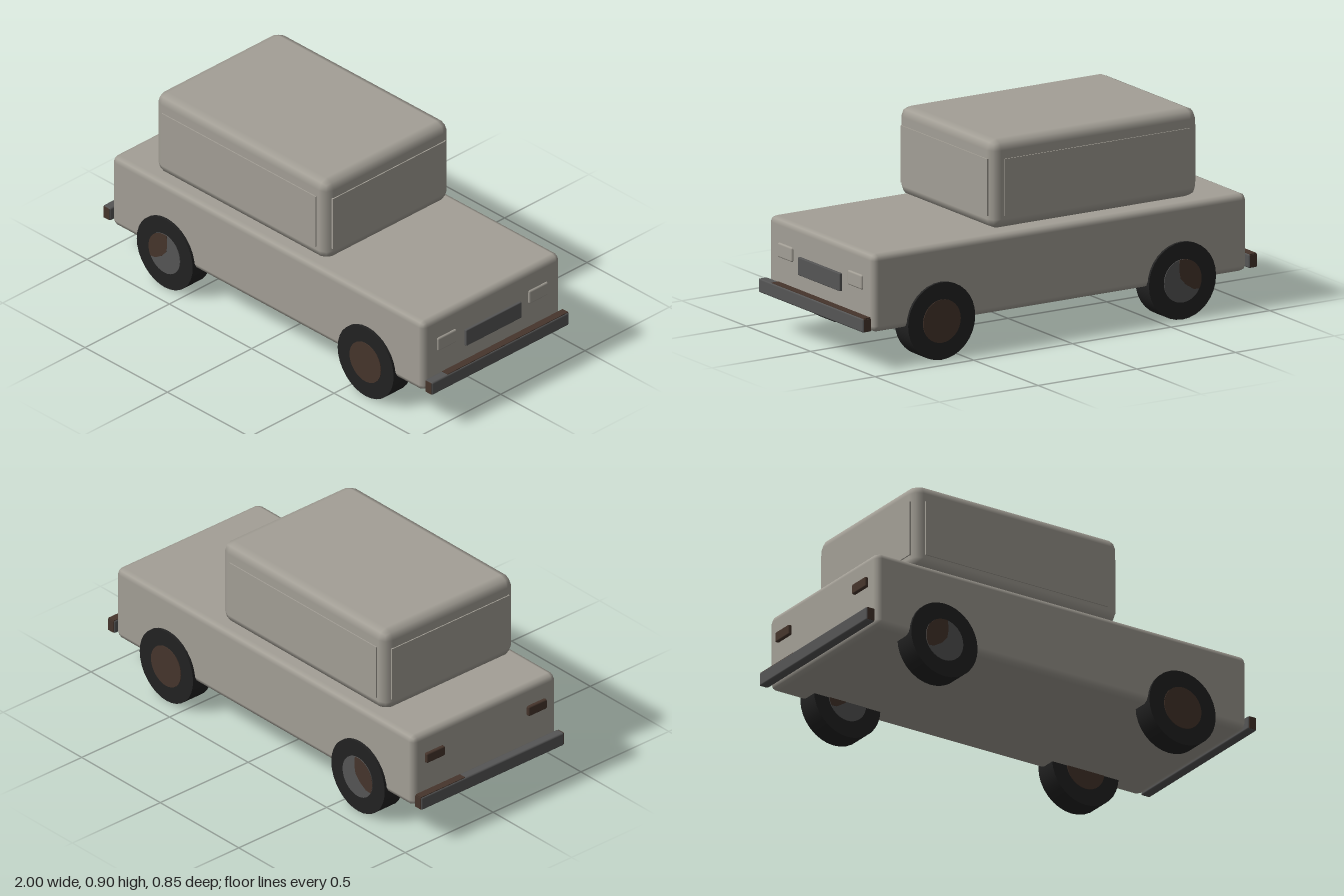
import * as THREE from 'three';
import { RoundedBoxGeometry } from 'three/addons/geometries/RoundedBoxGeometry.js';

const material = (name, color) => {
  const m = new THREE.MeshStandardMaterial({ color });
  m.name = name;
  return m;
};

export function createModel() {
  const car = new THREE.Group();
  car.name = 'car';
  const paint = material('bodyPaint', 0xa39f96);
  const grey = material('dullMetal', 0x555555);
  const rust = material('rust', 0x46352c);
  const rubber = material('tyreRubber', 0x222222);

  const add = (name, geometry, mat, parent = car) => {
    const mesh = new THREE.Mesh(geometry, mat);
    mesh.name = name;
    parent.add(mesh);
    return mesh;
  };
  // Box given by its limits on each axis; radius 0 keeps the edges sharp
  const block = (name, [x0, x1], [y0, y1], [z0, z1], mat, radius = 0) => {
    const size = [x1 - x0, y1 - y0, z1 - z0];
    const geometry = radius
      ? new RoundedBoxGeometry(...size, 1, radius)
      : new THREE.BoxGeometry(...size);
    const mesh = add(name, geometry, mat);
    mesh.position.set((x0 + x1) / 2, (y0 + y1) / 2, (z0 + z1) / 2);
    return mesh;
  };

  // Body and cabin
  block('body', [-0.948, 0.948], [0.16, 0.503], [-0.408, 0.408], paint, 0.028);
  block('cabin', [-0.727, 0.32], [0.51, 0.902], [-0.37, 0.37], paint, 0.045);

  // Window panels, slightly proud of the cabin
  block('windscreen', [0.317, 0.325], [0.57, 0.82], [-0.335, 0.335], paint);
  block('rearWindow', [-0.732, -0.724], [0.57, 0.82], [-0.335, 0.335], paint);
  for (const s of [-1, 1]) {
    const z = [s * 0.367, s * 0.375].sort((a, b) => a - b);
    block('sideWindow', [-0.675, 0.26], [0.57, 0.82], z, paint);
  }

  // Grille and lamps
  block('grille', [0.94, 0.96], [0.293, 0.372], [-0.164, 0.164], grey, 0.004);
  for (const s of [-1, 1]) {
    const headZ = s * 0.271, tailZ = s * 0.29;
    block('headlight', [0.935, 0.956], [0.335, 0.4], [headZ - 0.057, headZ + 0.057], paint, 0.008);
    block('tailLight', [-0.963, -0.94], [0.36, 0.406], [tailZ - 0.052, tailZ + 0.052], rust, 0.006);
  }

  // Bumpers with rusted ends and a rusted stretch along the top
  for (const [name, x0, x1, rustEnd] of [
    ['frontBumper', 0.956, 1, 0.31],
    ['rearBumper', -1, -0.956, -0.155],
  ]) {
    block(name, [x0, x1], [0.17, 0.231], [-0.406, 0.406], grey, 0.007);
    const x = [x0 + 0.005, x1 - 0.005];
    block(name + 'TopRust', x, [0.227, 0.233], [-0.405, rustEnd], rust);
    for (const s of [-1, 1]) {
      const z = [s * 0.402, s * 0.408].sort((a, b) => a - b);
      block(name + 'EndRust', x, [0.174, 0.228], z, rust);
    }
  }

  // Wheels: tyre, hub through the tyre, and a rust patch on the rear hubs
  const hubRadius = 0.095;
  const patch = new THREE.Shape();
  patch.moveTo(0.016, 0.0925);
  patch.lineTo(0.018, 0.045);
  patch.lineTo(0.012, 0.012);
  patch.lineTo(-0.015, -0.018);
  patch.lineTo(-0.055, -0.043);
  patch.lineTo(-0.083, -0.045);
  patch.absarc(0, 0, hubRadius - 0.0005, Math.PI * 1.158, Math.PI * 0.445, true);
  const patchDepth = 0.113;
  const tyreGeometry = new THREE.CylinderGeometry(0.17, 0.17, 0.105, 32).rotateX(Math.PI / 2);
  const hubGeometry = new THREE.CylinderGeometry(hubRadius, hubRadius, 0.111, 32).rotateX(Math.PI / 2);
  const patchGeometry = new THREE.ExtrudeGeometry(patch, {
    depth: patchDepth, bevelEnabled: false, curveSegments: 16,
  }).translate(0, 0, -patchDepth / 2);

  for (const x of [-0.61, 0.61]) {
    for (const s of [-1, 1]) {
      const wheel = new THREE.Group();
      wheel.name = x > 0 ? 'frontWheel' : 'rearWheel';
      wheel.position.set(x, 0.17, s * 0.3675);
      add('tyre', tyreGeometry, rubber, wheel);
      add('hub', hubGeometry, x > 0 ? rust : grey, wheel);
      if (x < 0) add('hubRust', patchGeometry, rust, wheel);
      car.add(wheel);
    }
  }
  return car;
}
